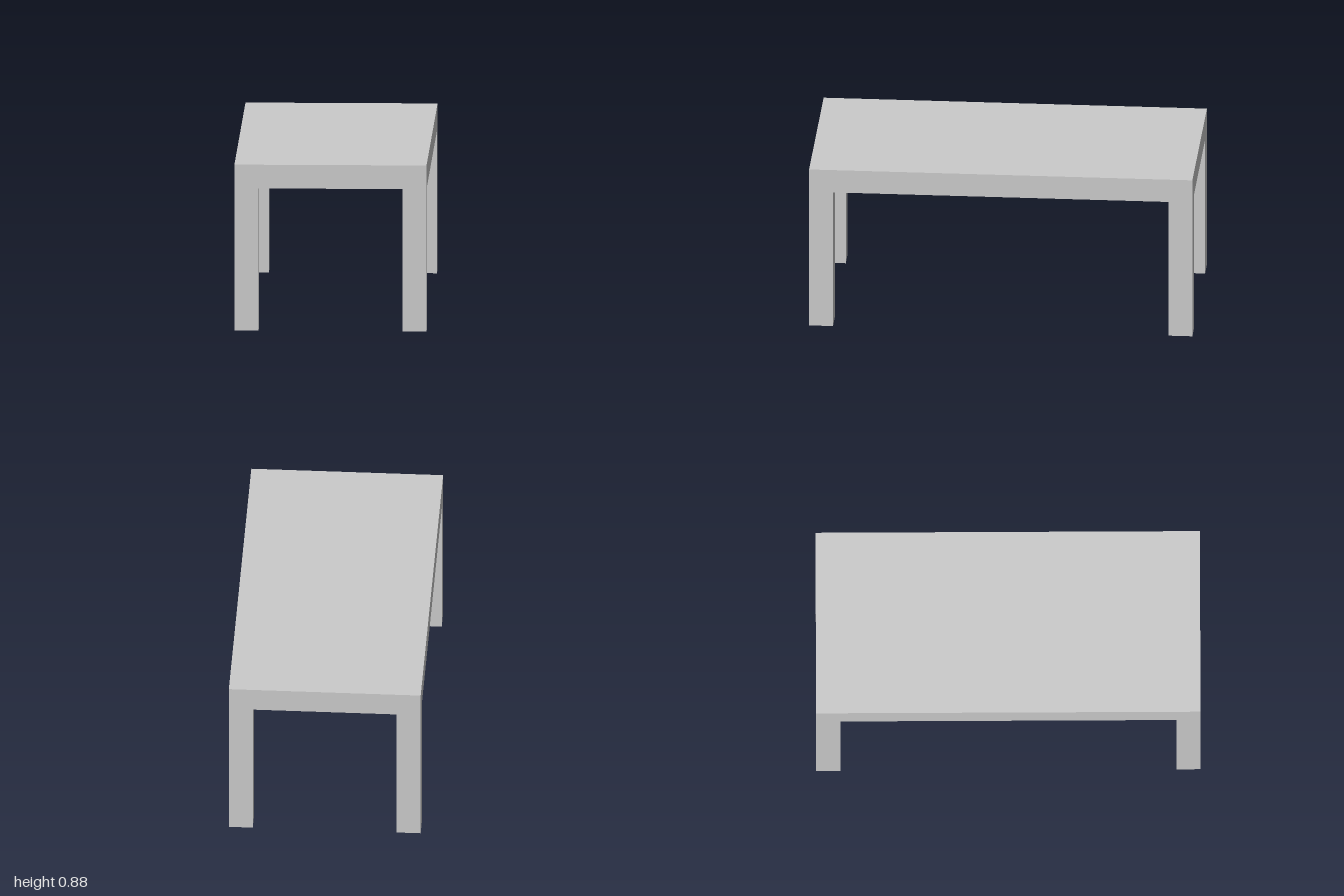
import * as THREE from 'three';

const WIDTH = 1, LENGTH = 2, HEIGHT = 0.875;
const THICK = 0.125; // tabletop thickness and leg side
const LEG_HEIGHT = HEIGHT - THICK;

export function createModel() {
  const table = new THREE.Group();
  table.name = 'table';
  const material = new THREE.MeshStandardMaterial({ color: 0xcccccc });

  // Tabletop slab
  const top = new THREE.Mesh(new THREE.BoxGeometry(WIDTH, THICK, LENGTH), material);
  top.name = 'tabletop';
  top.position.y = HEIGHT - THICK / 2;
  table.add(top);

  // Four square legs, flush with the corners
  const legGeometry = new THREE.BoxGeometry(THICK, LEG_HEIGHT, THICK);
  for (const [zName, z] of [['front', 1], ['back', -1]]) {
    for (const [xName, x] of [['Left', 1], ['Right', -1]]) {
      const leg = new THREE.Mesh(legGeometry, material);
      leg.name = `${zName}${xName}Leg`;
      leg.position.set(x * (WIDTH - THICK) / 2, LEG_HEIGHT / 2, z * (LENGTH - THICK) / 2);
      table.add(leg);
    }
  }
  return table;
}
